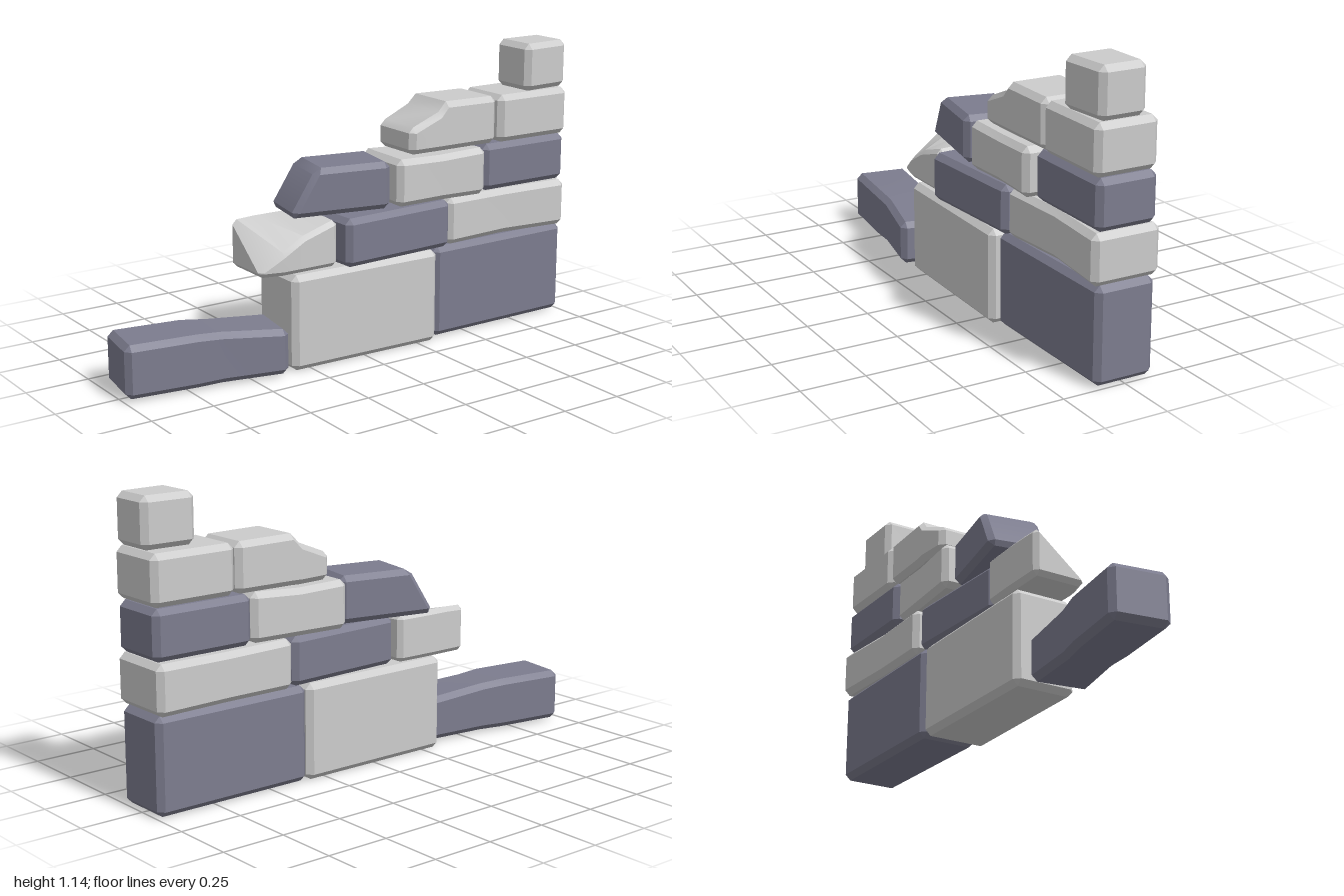
import * as THREE from 'three';
import { toCreasedNormals } from 'three/addons/utils/BufferGeometryUtils.js';

const grey = new THREE.MeshStandardMaterial({ color: 0xcccccc });
const slate = new THREE.MeshStandardMaterial({ color: 0x7c7c8e });

// Octagonal ring around one station; full = false gives the inset rectangle of an end face
function ring(s, b, x, full) {
  const { y0, back, front, zb, zf, lean = 0 } = s;
  const corners = [[y0, zf, 1, -1], [y0, zb, 1, 1], [back, zb, -1, 1], [front, zf, -1, -1]];
  const points = [];
  corners.forEach(([y, z, dy, dz], i) => {
    const yMove = [y + dy * b, full ? z : z + dz * b];
    const zMove = [full ? y : y + dy * b, z + dz * b];
    const pair = i % 2 === 0 ? [yMove, zMove] : [zMove, yMove];
    for (const [py, pz] of pair) {
      const t = (py - y0) / (Math.max(back, front) - y0);
      points.push(new THREE.Vector3(x + lean * t, py, pz));
    }
  });
  return points;
}

// Chamfered stone lofted through stations that run along x
function stoneGeometry(stations, b) {
  const first = stations[0];
  const last = stations[stations.length - 1];
  const rings = [
    ring(first, b, first.x, false),
    ring(first, b, first.x + b, true),
    ...stations.slice(1, -1).map((s) => ring(s, b, s.x, true)),
    ring(last, b, last.x - b, true),
    ring(last, b, last.x, false),
  ];
  const positions = [];
  const triangle = (p, q, r) => {
    const area = q.clone().sub(p).cross(r.clone().sub(p)).length();
    if (area > 1e-8) for (const v of [p, q, r]) positions.push(v.x, v.y, v.z);
  };
  for (let i = 0; i < rings.length - 1; i++) {
    for (let j = 0; j < 8; j++) {
      const k = (j + 1) % 8;
      triangle(rings[i][j], rings[i][k], rings[i + 1][k]);
      triangle(rings[i][j], rings[i + 1][k], rings[i + 1][j]);
    }
  }
  const start = rings[0];
  const end = rings[rings.length - 1];
  for (let j = 1; j < 7; j++) {
    triangle(start[0], start[j + 1], start[j]);
    triangle(end[0], end[j], end[j + 1]);
  }
  const geometry = new THREE.BufferGeometry();
  geometry.setAttribute('position', new THREE.Float32BufferAttribute(positions, 3));
  return toCreasedNormals(geometry, 0.5);
}

// One station: position, bottom, top, back and front, with an optional lower front top and lean
const at = (x, y0, y1, zb, zf, extra = {}) => ({ x, y0, back: y1, front: y1, zb, zf, ...extra });

export function createModel() {
  const wall = new THREE.Group();
  wall.name = 'ruinedWall';

  function stone(name, material, stations, { turn = 0, x = 0, z = 0, bevel = 0.022 } = {}) {
    const mesh = new THREE.Mesh(stoneGeometry(stations, bevel), material);
    mesh.name = name;
    mesh.position.set(x, 0, z);
    mesh.rotation.y = turn;
    wall.add(mesh);
  }

  // Bottom course
  stone('fallenStone', slate, [
    at(-0.32, 0.01, 0.215, -0.115, 0.115),
    at(-0.04, 0.01, 0.215, -0.115, 0.11),
    at(0.06, 0.01, 0.207, -0.105, 0.1),
    at(0.32, 0.01, 0.187, -0.115, 0.115),
  ], { turn: -0.15, x: -0.665 });
  stone('foundationMiddle', grey, [
    at(-0.33, 0, 0.375, -0.12, 0.135),
    at(0.335, 0, 0.375, -0.12, 0.15),
  ]);
  stone('foundationLeft', slate, [
    at(0.34, 0.005, 0.375, -0.12, 0.125),
    at(1, 0.005, 0.375, -0.12, 0.12),
  ]);

  // Second course
  stone('secondCourseBroken', grey, [
    at(-0.455, 0.38, 0.565, -0.115, 0.1, { front: 0.42 }),
    at(-0.36, 0.38, 0.568, -0.115, 0.12, { front: 0.47 }),
    at(-0.27, 0.38, 0.568, -0.115, 0.12, { front: 0.52 }),
    at(-0.12, 0.38, 0.568, -0.11, 0.12, { front: 0.56 }),
  ], { bevel: 0.018 });
  stone('secondCourseMiddle', slate, [
    at(-0.255, 0.375, 0.565, -0.115, 0.135),
    at(0.255, 0.375, 0.565, -0.115, 0.135),
  ], { turn: 0.05, x: 0.145, z: 0.015 });
  stone('secondCourseLeft', grey, [
    at(0.405, 0.375, 0.565, -0.125, 0.125),
    at(0.7, 0.375, 0.56, -0.125, 0.108),
    at(1, 0.375, 0.565, -0.138, 0.138),
  ]);

  // Third course
  stone('thirdCourseBroken', slate, [
    at(-0.215, 0.572, 0.757, -0.12, 0.115, { lean: 0.11 }),
    at(0.2, 0.572, 0.757, -0.12, 0.115),
  ], { turn: -0.19, x: -0.06, z: -0.015 });
  stone('thirdCourseMiddle', grey, [
    at(-0.21, 0.568, 0.755, -0.135, 0.14),
    at(0, 0.568, 0.748, -0.13, 0.13),
    at(0.21, 0.568, 0.757, -0.125, 0.138),
  ], { turn: -0.035, x: 0.365, z: 0.005 });
  stone('thirdCourseLeft', slate, [
    at(0.585, 0.568, 0.757, -0.12, 0.12),
    at(1, 0.568, 0.757, -0.12, 0.125),
  ]);

  // Fourth course
  stone('fourthCourseBroken', grey, [
    at(0.225, 0.76, 0.868, -0.115, 0.115),
    at(0.365, 0.76, 0.915, -0.125, 0.118),
    at(0.4, 0.76, 0.953, -0.12, 0.118),
    at(0.645, 0.76, 0.95, -0.115, 0.12),
  ]);
  stone('fourthCourseLeft', grey, [
    at(0.65, 0.76, 0.95, -0.115, 0.13),
    at(1, 0.76, 0.95, -0.118, 0.135),
  ]);

  // Capping stone
  stone('capStone', grey, [
    at(0.78, 0.953, 1.143, -0.065, 0.135),
    at(1, 0.953, 1.143, -0.065, 0.122),
  ]);

  return wall;
}
